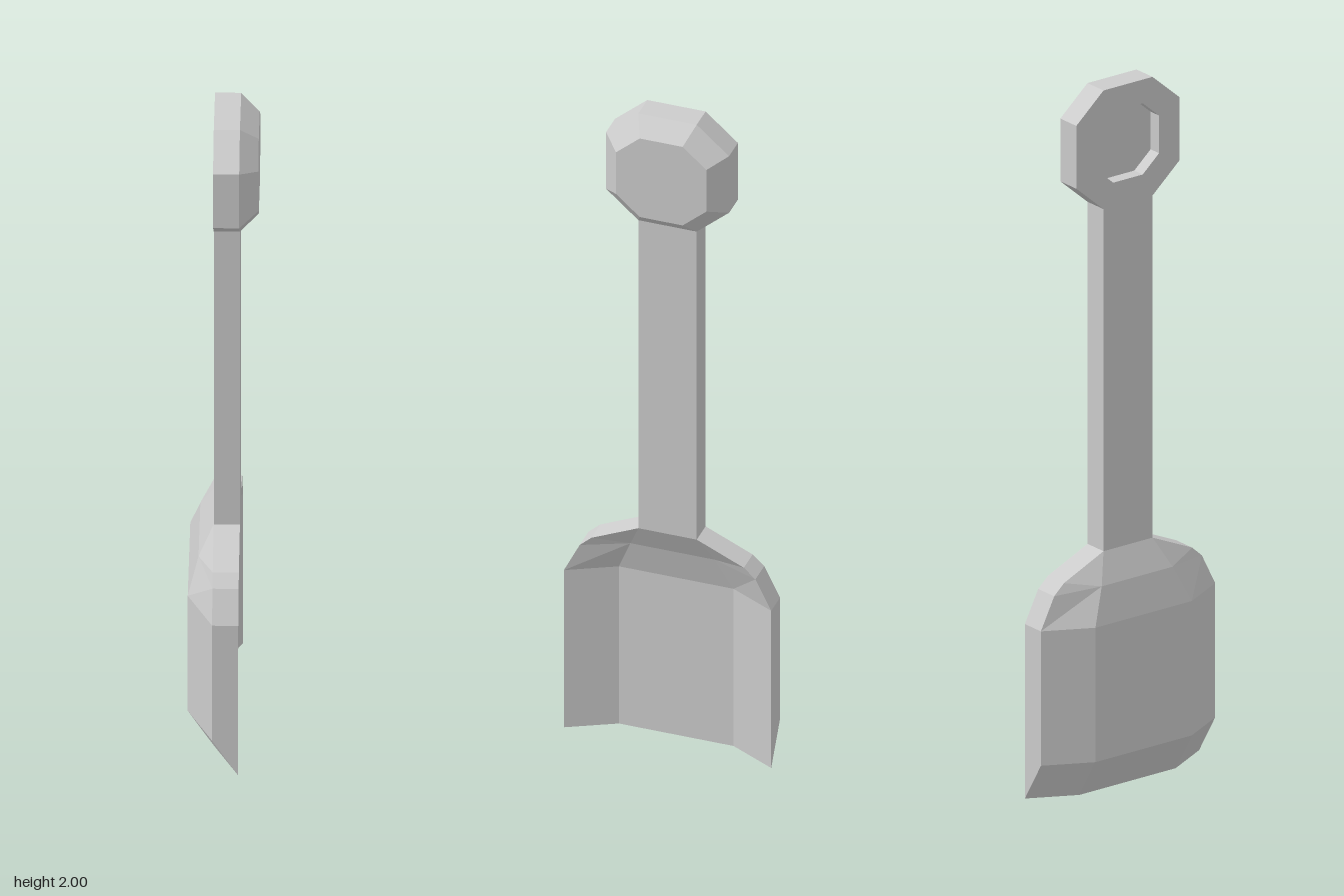
import * as THREE from 'three';

const BACK = -0.027, FRONT = 0.043; // x of the handle's two broad faces

const material = new THREE.MeshStandardMaterial({
  color: 0xcccccc, flatShading: true, side: THREE.DoubleSide,
});

function facetedMesh(name, quads) {
  const positions = [];
  const tri = (a, b, c) => {
    const area = new THREE.Triangle(a, b, c).getArea();
    if (area > 1e-7) for (const p of [a, b, c]) positions.push(p.x, p.y, p.z);
  };
  for (const [a, b, c, d] of quads) { tri(a, b, c); tri(a, c, d); }
  const geometry = new THREE.BufferGeometry();
  geometry.setAttribute('position', new THREE.Float32BufferAttribute(positions, 3));
  geometry.computeVertexNormals();
  const mesh = new THREE.Mesh(geometry, material);
  mesh.name = name;
  return mesh;
}

// Quads joining successive closed rings of equal length
function loft(rings) {
  const quads = [];
  for (let r = 0; r < rings.length - 1; r++) {
    const lo = rings[r], hi = rings[r + 1];
    lo.forEach((p, i) => {
      const j = (i + 1) % lo.length;
      quads.push([p, lo[j], hi[j], hi[i]]);
    });
  }
  return quads;
}

// Scoop blade: a folded sheet of constant thickness with a sharpened lower edge
function createBlade() {
  // edge z, edge y, fold z, fold y, fold depth; bottom to top
  const rows = [
    [0.295, 0, 0.163, 0, 0.068],
    [0.295, 0.5, 0.163, 0.5, 0.068],
    [0.25, 0.59, 0.12, 0.6, 0.04],
    [0.217, 0.62, 0.12, 0.6, 0.04],
    [0.083, 0.68, 0.083, 0.68, 0],
  ];
  const rings = rows.map(([ez, ey, fz, fy, depth], r) => {
    const sheet = (x, lift) => [
      new THREE.Vector3(x, ey + lift, ez),
      new THREE.Vector3(x - depth, fy + lift, fz),
      new THREE.Vector3(x - depth, fy + lift, -fz),
      new THREE.Vector3(x, ey + lift, -ez),
    ];
    const bevel = r === 0 ? 0.115 : 0;
    return [...sheet(FRONT, 0), ...sheet(BACK, bevel).reverse()];
  });
  const quads = loft(rings);
  // Sloping face of the sharpened edge
  const b = rings[0];
  for (let i = 0; i < 3; i++) quads.push([b[i], b[7 - i], b[6 - i], b[i + 1]]);
  return facetedMesh('blade', quads);
}

// Octagonal grip: bevelled cap on one side, shallow recess on the other
function createGrip() {
  const octagon = [
    [0.17, 0.083], [0.09, 0.175], [-0.09, 0.175], [-0.17, 0.083],
    [-0.17, -0.083], [-0.09, -0.175], [0.09, -0.175], [0.17, -0.083],
  ];
  const floor = 0.01;
  // x position and octagon scale, from recess floor round to the cap centre
  const sections = [
    [floor, 0], [floor, 0.6], [BACK, 0.6], [BACK, 1],
    [FRONT, 1], [0.093, 0.735], [0.093, 0],
  ];
  const rings = sections.map(([x, s]) =>
    octagon.map(([y, z]) => new THREE.Vector3(x, 1.83 + y * s, z * s)));
  return facetedMesh('grip', loft(rings));
}

export function createModel() {
  const model = new THREE.Group();
  model.name = 'shovel';

  // Flat rectangular handle
  const handle = new THREE.Mesh(new THREE.BoxGeometry(FRONT - BACK, 0.98, 0.166), material);
  handle.name = 'handle';
  handle.position.set((FRONT + BACK) / 2, 1.17, 0);

  model.add(createBlade(), handle, createGrip());
  return model;
}
